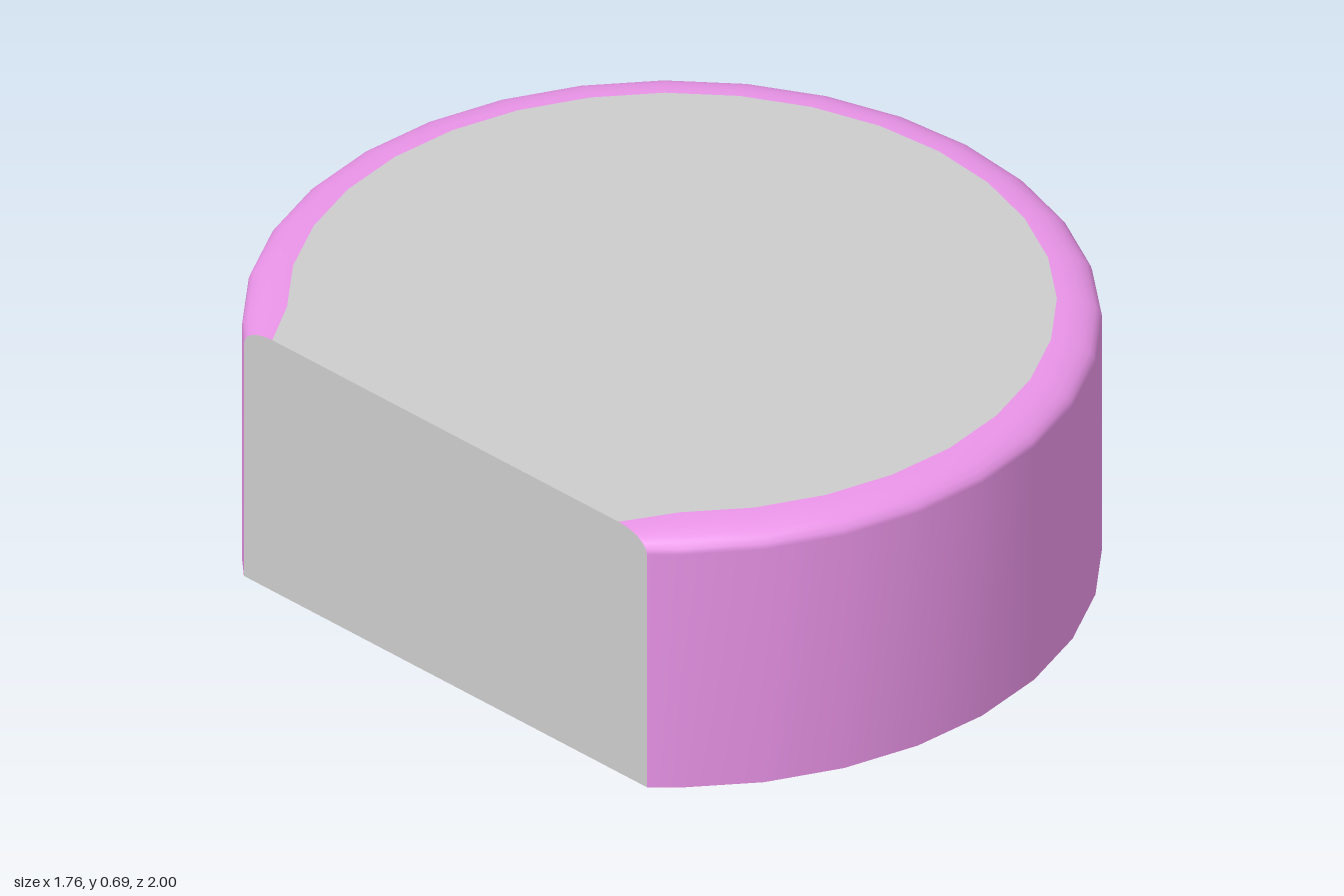
import * as THREE from 'three';

const CENTRE_X = -0.12, FLAT_X = -0.88, HEIGHT = 0.695;
const BEVEL_W = 0.105, BEVEL_H = 0.05, BEVEL_STEPS = 6;

// Wall profile from the floor up: inset from the outer edge, and height
const profile = [[0, 0]];
for (let k = 0; k <= BEVEL_STEPS; k++) {
  const t = (k / BEVEL_STEPS) * Math.PI / 2;
  profile.push([BEVEL_W * (1 - Math.cos(t)), HEIGHT - BEVEL_H * (1 - Math.sin(t))]);
}

// Angles round the wall: 32 sides per full turn, cut off by the flat
const cut = Math.acos(FLAT_X - CENTRE_X);
const angles = [-cut];
for (let i = -12; i <= 12; i++) angles.push(i * Math.PI / 16);
angles.push(cut);

// Inset runs towards the centre, but along the flat at the two ends
function wallPoint(i, [inset, y]) {
  const a = angles[i];
  if (i === 0 || i === angles.length - 1) {
    const z = Math.sin(a);
    return [FLAT_X, y, z - Math.sign(z) * inset * 0.87];
  }
  const r = 1 - inset;
  return [CENTRE_X + r * Math.cos(a), y, r * Math.sin(a)];
}

function wallGeometry() {
  const pos = [], index = [], n = profile.length;
  angles.forEach((_, i) => profile.forEach((p) => pos.push(...wallPoint(i, p))));
  for (let i = 0; i < angles.length - 1; i++) {
    for (let j = 0; j < n - 1; j++) {
      const a = i * n + j, b = a + n;
      index.push(a, a + 1, b, b, a + 1, b + 1);
    }
  }
  const g = new THREE.BufferGeometry();
  g.setAttribute('position', new THREE.Float32BufferAttribute(pos, 3));
  g.setIndex(index);
  g.computeVertexNormals();
  return g;
}

function panelGeometry(points) {
  return new THREE.ShapeGeometry(new THREE.Shape(points.map(([x, y]) => new THREE.Vector2(x, y))));
}

export function createModel() {
  const group = new THREE.Group();
  group.name = 'roundCover';
  const pink = new THREE.MeshStandardMaterial({ color: 0xea94e8, side: THREE.DoubleSide });
  const grey = new THREE.MeshStandardMaterial({ color: 0xcccccc, side: THREE.DoubleSide });
  const add = (name, geometry, material) => {
    const mesh = new THREE.Mesh(geometry, material);
    mesh.name = name;
    group.add(mesh);
  };

  // Curved wall with its rounded upper rim; the underside stays open
  add('curvedWall', wallGeometry(), pink);

  // Flat lid inside the rim
  const lidEdge = profile[profile.length - 1];
  const lid = panelGeometry(angles.map((_, i) => {
    const [x, , z] = wallPoint(i, lidEdge);
    return [x, z];
  }));
  lid.rotateX(-Math.PI / 2).translate(0, HEIGHT, 0);
  add('lid', lid, grey);

  // Flat side closing the cut, following the rim's rounded corners
  const side = profile.map((p) => {
    const [, y, z] = wallPoint(angles.length - 1, p);
    return [z, y];
  });
  const mirrored = side.map(([z, y]) => [-z, y]).reverse();
  const flat = panelGeometry([...side, ...mirrored]);
  flat.rotateY(-Math.PI / 2).translate(FLAT_X, 0, 0);
  add('flatSide', flat, grey);

  return group;
}
